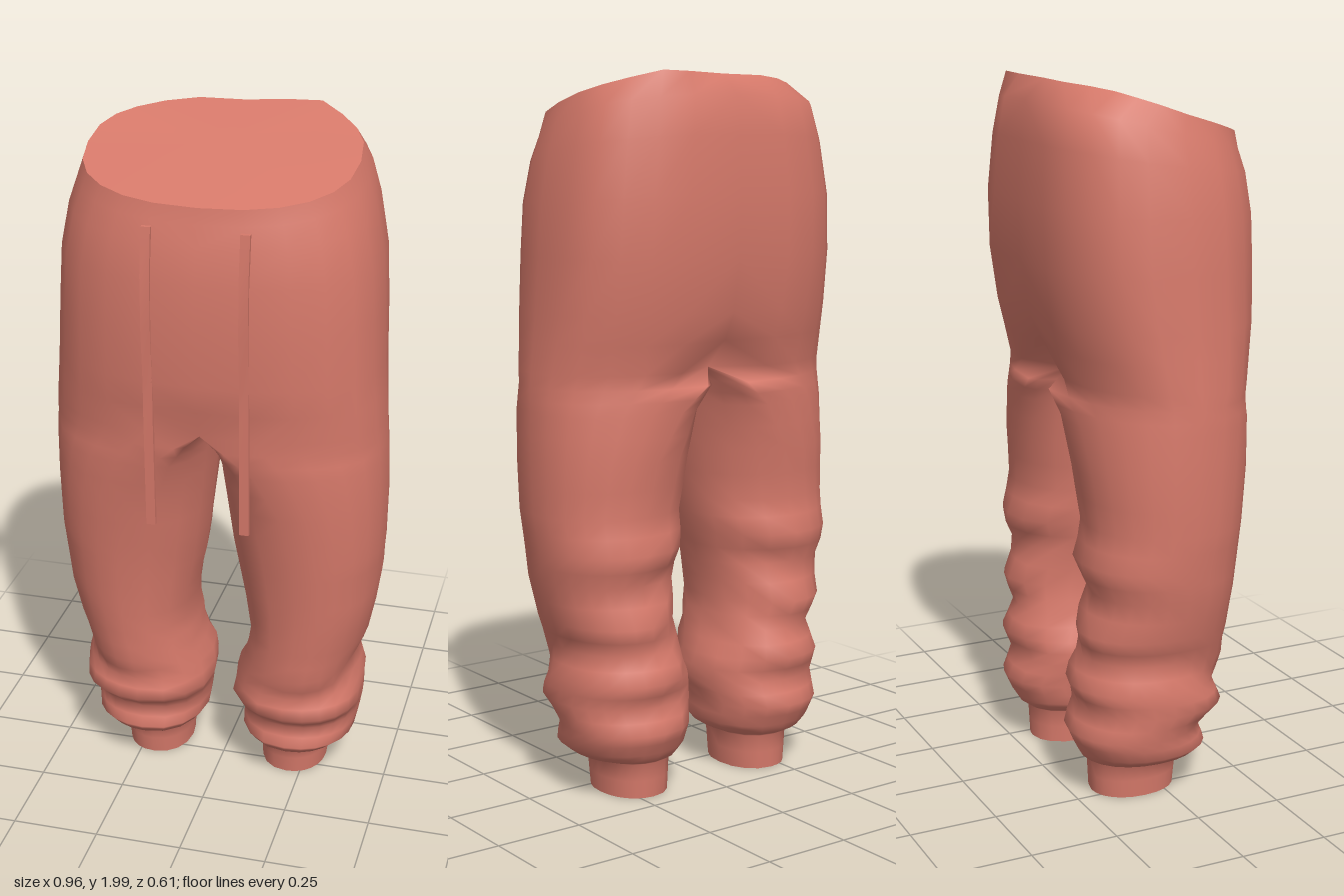
import * as THREE from 'three';
import { mergeVertices } from 'three/addons/utils/BufferGeometryUtils.js';

const OUTER = 12, INNER = 8, RING = OUTER + INNER;

// Leg sections: y, outer x, inner x, middle x, front z, back z
const LEG = [
  [0, 0.308, 0.115, 0.21, 0.055, -0.19],
  [0.1, 0.315, 0.11, 0.21, 0.065, -0.195],
  [0.115, 0.365, 0.08, 0.22, 0.12, -0.22],
  [0.14, 0.395, 0.06, 0.22, 0.138, -0.235],
  [0.2, 0.405, 0.055, 0.22, 0.115, -0.26],
  [0.27, 0.425, 0.035, 0.22, 0.18, -0.235],
  [0.34, 0.415, 0.045, 0.22, 0.165, -0.255],
  [0.42, 0.405, 0.075, 0.23, 0.18, -0.23],
  [0.5, 0.432, 0.088, 0.25, 0.19, -0.238],
  [0.61, 0.455, 0.075, 0.26, 0.2, -0.21],
  [0.7, 0.467, 0.055, 0.26, 0.21, -0.24],
  [0.8, 0.475, 0.04, 0.25, 0.222, -0.215],
  [0.95, 0.478, 0.022, 0.22, 0.243, -0.23],
  [1.08, 0.476, 0.01, 0.15, 0.265, -0.241],
  [1.15, 0.473, 0.005, 0.07, 0.276, -0.249],
];

// Hip sections: y, outer x, front z, back z, inward pull at the seam, tilt, back roundness
const HIP = [
  [1.19, 0.47, 0.283, -0.255, 0.38, 0, 0.86],
  [1.27, 0.463, 0.295, -0.27, 0.13, 0, 0.8],
  [1.35, 0.457, 0.307, -0.288, 0.05, 0, 0.76],
  [1.5, 0.45, 0.312, -0.308, 0.03, 0, 0.72],
  [1.65, 0.441, 0.31, -0.313, 0.03, 0.05, 0.72],
  [1.78, 0.417, 0.297, -0.303, 0.03, 0.15, 0.74],
  [1.86, 0.392, 0.28, -0.288, 0.03, 0.25, 0.76],
  [1.915, 0.372, 0.27, -0.238, 0, 0.3, 0.8],
];

const round = (v, p) => Math.sign(v) * Math.abs(v) ** p;
const bell = (v, w) => Math.exp(-((v / w) ** 2));

// Rounded section: outer arc front to back, then inner arc back to front
function ring([xo, xi, xm, zf, zb], frontPower, backPower, place) {
  const zc = (zf + zb) / 2, h = (zf - zb) / 2;
  return Array.from({ length: RING }, (_, j) => {
    const a = j <= OUTER ? (j / OUTER) * Math.PI : Math.PI * (1 + (j - OUTER) / INNER);
    const power = Math.cos(a) < 0 ? backPower : frontPower;
    const s = round(Math.sin(a), power), c = round(Math.cos(a), power);
    const x = xm + (s > 0 ? xo - xm : xm - xi) * s;
    return place(Math.max(x, 0), zc + h * c, a);
  });
}

function legRing([y, xo, xi, xm, zf, zb]) {
  // Slanted cloth folds above the cuff, reaching higher at the back
  const amount = y > 0.12 && y < 0.85 ? 0.006 * Math.sin(Math.PI * (y - 0.12) / 0.73) : 0;
  const zc = (zf + zb) / 2;
  return ring([xo, xi, xm, zf, zb], 0.92, 0.92, (x, z, a) => {
    const weight = y < 0.45 ? 1 : Math.max(0, -Math.cos(a));
    const k = 1 + weight * (amount / 0.18) * Math.sin(y * 40 + 3 * Math.sin(a + 0.6) + 2 * Math.cos(2 * a));
    // Front cloth sags over the gathered hem
    const sag = 0.025 * Math.max(0, Math.cos(a)) ** 2 * bell(y - 0.4, 0.1);
    return [Math.max(xm + (x - xm) * k, 0.004), y - sag, zc + (z - zc) * k];
  });
}

function hipRing([y, xo, zf, zb, pull, tilt, backPower]) {
  return ring([xo, 0, 0, zf, zb], 0.84, backPower, (x, z) => {
    const amount = pull * bell(x, 0.1) * (z < 0 ? 1 : 0.2);
    return [x, y - tilt * z, z * (1 - amount)];
  });
}

// Uneven back edge of the waist
function shapeRim([x, y, z]) {
  const back = z < -0.05 ? 1 : 0;
  const peak = back * bell(x - 0.2, 0.08), dent = back * bell(x + 0.27, 0.1);
  return [x, y + 0.015 * peak, z - 0.035 * peak + 0.03 * dent + 0.015 * back * bell(x, 0.1)];
}

function makeGeometry(triangles) {
  const g = new THREE.BufferGeometry();
  g.setAttribute('position', new THREE.Float32BufferAttribute(triangles.flat(2), 3));
  const merged = mergeVertices(g, 1e-4);
  merged.computeVertexNormals();
  return merged;
}

// Flat strip with thickness that follows a path of [y, z] points
function cordGeometry(path, width, depth) {
  const g = new THREE.BoxGeometry(width, 1, depth, 1, path.length - 1, 1);
  const p = g.attributes.position;
  for (let i = 0; i < p.count; i++) {
    const [y, z] = path[Math.round((0.5 - p.getY(i)) * (path.length - 1))];
    p.setY(i, y);
    p.setZ(i, p.getZ(i) + z);
  }
  g.computeVertexNormals();
  return g;
}

export function createModel() {
  const group = new THREE.Group();
  const cloth = new THREE.MeshStandardMaterial({ color: 0xd6796a, side: THREE.DoubleSide });
  cloth.name = 'coral cloth';
  const add = (name, geometry) => {
    const mesh = new THREE.Mesh(geometry, cloth);
    mesh.name = name;
    group.add(mesh);
    return mesh;
  };

  // Leg sections with one extra between each pair, for the folds
  const legRows = LEG.flatMap((r, i) => {
    const next = LEG[i + 1];
    return next ? [r, r.map((v, k) => (v + next[k]) / 2)] : [r];
  });
  const rows = [...legRows.map(legRing), ...HIP.map(hipRing)];
  const crotch = legRows.length;

  const body = [], waist = [];
  for (const side of [1, -1]) {
    const mirrored = rows.map((row, i) => row.map(([x, y, z]) =>
      i === rows.length - 1 ? shapeRim([side * x, y, z]) : [side * x, y, z]));
    const face = (list, a, b, c) => list.push(side > 0 ? [a, b, c] : [a, c, b]);

    // Legs are full tubes, open at the cuff; above the crotch only the outer arc is needed
    for (let i = 0; i < mirrored.length - 1; i++) {
      const count = i < crotch ? RING : OUTER;
      for (let j = 0; j < count; j++) {
        const k = (j + 1) % RING, low = mirrored[i], high = mirrored[i + 1];
        face(body, low[j], low[k], high[k]);
        face(body, low[j], high[k], high[j]);
      }
    }

    // Closed waist
    const rim = mirrored[mirrored.length - 1];
    for (let j = 0; j < OUTER; j++) face(waist, [0, 1.93, -0.03], rim[j], rim[j + 1]);
  }
  add('trousers', makeGeometry(body));
  add('waistTop', makeGeometry(waist));

  // Drawstrings: close to the belly, then hanging free
  const path = [[1.78, 0.286], [1.65, 0.303], [1.5, 0.304], [1.35, 0.293], [1.24, 0.293], [0.92, 0.284]];
  for (const side of [1, -1]) {
    const cord = add(side > 0 ? 'leftDrawstring' : 'rightDrawstring', cordGeometry(path, 0.026, 0.012));
    cord.position.x = side * 0.132;
  }
  return group;
}
